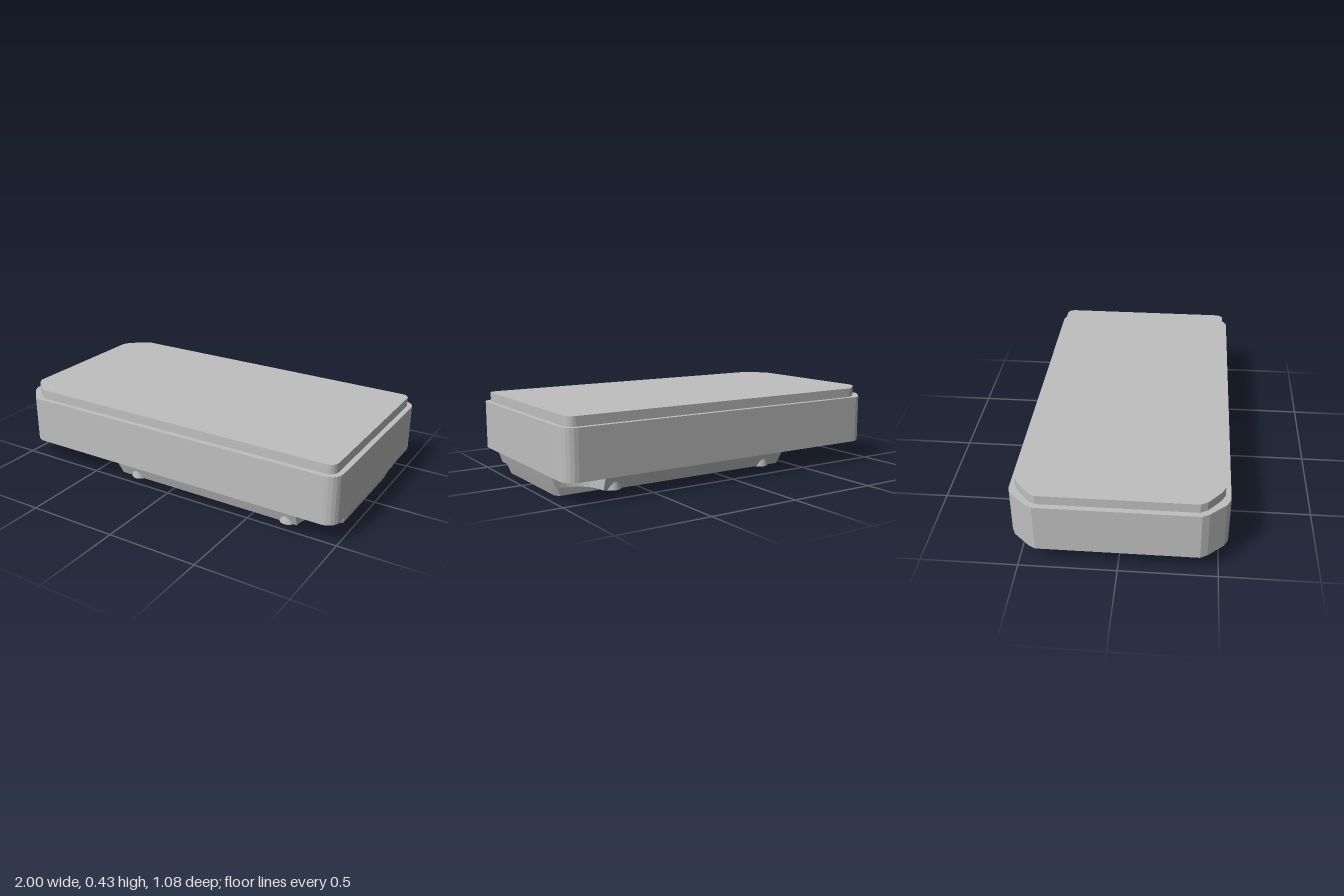
import * as THREE from 'three';

const casing = new THREE.MeshStandardMaterial({ color: 0xbfbfbf });
casing.name = 'casingGrey';

// Points [x, z] on an arc
function arc(cx, cz, r, from, to, n) {
  return Array.from({ length: n + 1 }, (_, i) => {
    const a = from + ((to - from) * i) / n;
    return [cx + r * Math.cos(a), cz + r * Math.sin(a)];
  });
}

// Flat-faced solid between two outlines of equal length, running from +x towards +z
function loft(lower, y0, upper, y1) {
  const pos = [];
  const lo = (i) => [lower[i][0], y0, lower[i][1]];
  const up = (i) => [upper[i][0], y1, upper[i][1]];
  const n = lower.length;
  for (let i = 0; i < n; i++) {
    const j = (i + 1) % n;
    pos.push(...lo(i), ...up(i), ...lo(j), ...lo(j), ...up(i), ...up(j));
  }
  const flat = (pts) => pts.map(([x, z]) => new THREE.Vector2(x, z));
  for (const [a, b, c] of THREE.ShapeUtils.triangulateShape(flat(lower), [])) pos.push(...lo(a), ...lo(b), ...lo(c));
  for (const [a, b, c] of THREE.ShapeUtils.triangulateShape(flat(upper), [])) pos.push(...up(a), ...up(c), ...up(b));
  const g = new THREE.BufferGeometry();
  g.setAttribute('position', new THREE.Float32BufferAttribute(pos, 3));
  g.computeVertexNormals();
  return g;
}

// Body outline: cut corners at -x, small round corners at +x
function bodyOutline(inset, r) {
  const X = 1 - inset, Z = 0.542 - inset, k = inset * 0.4;
  const half = [[-X, 0.405 - k], [-X + 0.02, 0.44 - k], [-X + 0.095, Z - 0.02], [-X + 0.135, Z]];
  return [
    ...half.map(([x, z]) => [x, -z]),
    ...arc(X - r, -Z + r, r, -Math.PI / 2, 0, 5),
    ...arc(X - r, Z - r, r, 0, Math.PI / 2, 5),
    ...half.reverse(),
  ];
}

// Stepped base outline: round pockets at the +x corners, hollow curve at -x
function baseOutline(xMin, xMax, Z, R) {
  const P = Math.PI;
  return [
    [xMin, -Z], [0.79, -Z],
    ...arc(0.94, -0.5, 0.15, P, P / 2, 8), [xMax, -0.35],
    [xMax, 0.35], ...arc(0.94, 0.5, 0.15, -P / 2, -P, 8),
    [0.79, Z], [xMin, Z],
    ...arc(-0.53, 0, R, 1.08, -1.08, 20),
  ];
}

// Bottom plate outline, sharing the hollow curve
function plateOutline(xMax, Z, R) {
  const a = Math.asin(Z / R);
  return [[xMax - 0.02, -Z], [xMax, -Z + 0.02], [xMax, Z - 0.02], [xMax - 0.02, Z], ...arc(-0.53, 0, R, a, -a, 16)];
}

export function createModel() {
  const model = new THREE.Group();
  model.name = 'deviceBox';
  const add = (name, geometry, x = 0, y = 0, z = 0) => {
    const mesh = new THREE.Mesh(geometry, casing);
    mesh.name = name;
    mesh.position.set(x, y, z);
    model.add(mesh);
    return mesh;
  };

  // Main case and inset lid
  const body = bodyOutline(0, 0.07);
  add('mainCase', loft(body, 0.12, body, 0.382));
  const lid = bodyOutline(0.028, 0.045);
  add('lid', loft(lid, 0.375, lid, 0.432));

  // Sloped underside step and lower plate
  add('underStep', loft(baseOutline(-0.29, 0.965, 0.512, 0.49), 0.055, baseOutline(-0.31, 0.99, 0.537, 0.48), 0.125));
  add('bottomPlate', loft(plateOutline(0.943, 0.305, 0.495), 0.002, plateOutline(0.965, 0.31, 0.485), 0.06));
  add('labelPanel', new THREE.BoxGeometry(0.7, 0.004, 0.5), 0.43, 0.002, 0);

  // Round base detail under the shallow end
  add('roundPanel', new THREE.CylinderGeometry(0.245, 0.245, 0.004, 48), -0.53, 0.119, 0);

  for (const s of [-1, 1]) {
    // Screw bosses with screw heads
    for (const x of [-0.19, 0.73]) {
      add('screwBoss', new THREE.CylinderGeometry(0.035, 0.045, 0.06, 20), x, 0.083, s * 0.488);
      add('screwHead', new THREE.CylinderGeometry(0.03, 0.02, 0.006, 20), x, 0.051, s * 0.488);
    }
    // Pads in the corner pockets and at the cut corners
    add('pocketPad', new THREE.CylinderGeometry(0.05, 0.05, 0.006, 24), 0.91, 0.118, s * 0.45);
    add('cornerPad', new THREE.CylinderGeometry(0.07, 0.07, 0.004, 24), -0.86, 0.119, s * 0.41);
  }
  return model;
}
